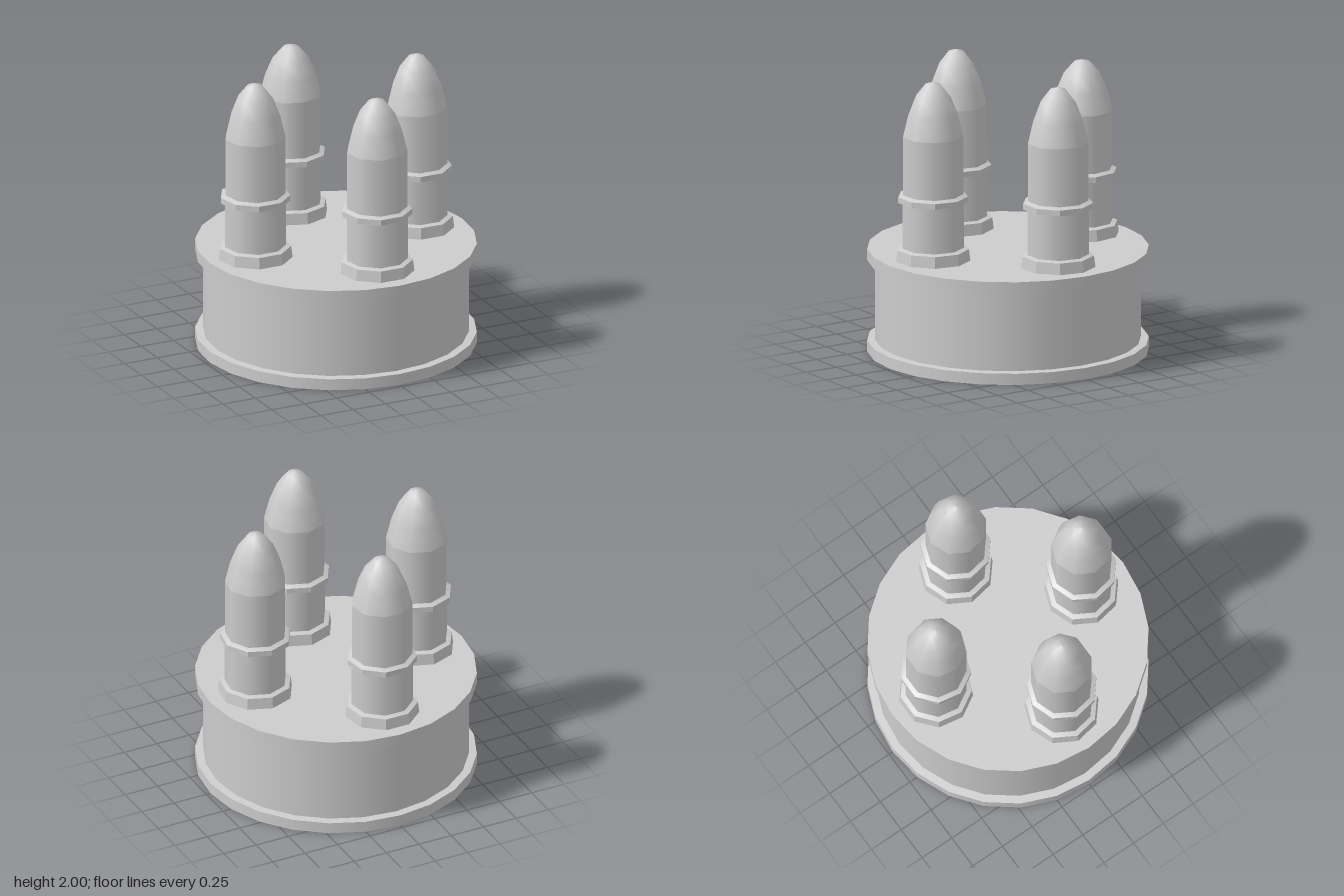
import * as THREE from 'three';
import { mergeGeometries, toCreasedNormals } from 'three/addons/utils/BufferGeometryUtils.js';

const grey = new THREE.MeshStandardMaterial({ color: 0xcccccc, side: THREE.DoubleSide });
grey.name = 'plain grey';

const SIDES = 9, FLANGE = 0.26, DECK_Y = 0.73;

function lathe(points, sides) {
  return new THREE.LatheGeometry(points.map(([r, y]) => new THREE.Vector2(r, y)), sides);
}

// Profile with a hard edge at every point, round shading along the ring
function hardLathe(points, sides) {
  return mergeGeometries(points.slice(1).map((p, i) => lathe([points[i], p], sides)));
}

function add(group, name, geometry) {
  const mesh = new THREE.Mesh(geometry, grey);
  mesh.name = name;
  group.add(mesh);
  return mesh;
}

// Regular polygon in the same corner order as a lathe, laid out for the deck
function ring(r, sides, cx = 0, cz = 0, turn = 0) {
  return Array.from({ length: sides }, (_, i) => {
    const a = turn + (i / sides) * Math.PI * 2;
    return new THREE.Vector2(cx + r * Math.sin(a), -(cz + r * Math.cos(a)));
  });
}

// Hollow pointed post: foot flange, lower tube, collar, upper tube with ogive tip
function makePost(name, x, z, turn, top) {
  const post = new THREE.Group();
  post.name = name;
  add(post, 'footFlange', toCreasedNormals(
    hardLathe([[FLANGE, DECK_Y], [0.25, 0.81], [0.215, 0.82]], SIDES), 0.3));
  add(post, 'lowerTube', lathe([[0.215, 0.81], [0.215, 1.15]], SIDES));
  add(post, 'collar', toCreasedNormals(
    hardLathe([[0.215, 1.14], [0.245, 1.145], [0.245, 1.185], [0.212, 1.2]], SIDES), 0.3));
  add(post, 'upperTube', lathe([[0.212, 1.19], [0.212, 1.61]], SIDES));
  const s = top - 1.61;
  add(post, 'pointedTip', lathe([
    [0.212, 1.61], [0.175, 1.61 + s * 0.4], [0.125, 1.61 + s * 0.73],
    [0.055, 1.61 + s * 0.96], [0, top],
  ], SIDES));
  post.position.set(x, 0, z);
  post.rotation.y = turn;
  return post;
}

export function createModel() {
  const model = new THREE.Group();
  model.name = 'drumWithPosts';

  // Open-bottomed drum
  const N = 24;
  add(model, 'bottomRim', hardLathe([[0.91, 0], [0.97, 0], [0.97, 0.08], [0.91, 0.085]], N));
  add(model, 'drumWall', lathe([[0.915, 0], [0.915, DECK_Y]], N));
  add(model, 'topRim', hardLathe([[0.91, 0.65], [0.97, 0.65], [0.97, DECK_Y]], N));

  const posts = [
    ['frontPost', 0, 0.62, Math.PI, 1.99],
    ['backPost', -0.03, -0.63, 0, 1.965],
    ['leftPost', 0.62, 0, Math.PI, 2],
    ['rightPost', -0.63, 0.01, Math.PI, 2],
  ];

  // Deck, open beneath each hollow post
  const shape = new THREE.Shape(ring(0.97, N));
  for (const [, x, z, turn] of posts) {
    shape.holes.push(new THREE.Path(ring(FLANGE, SIDES, x, z, turn)));
  }
  const deck = add(model, 'deck', new THREE.ShapeGeometry(shape).rotateX(-Math.PI / 2));
  deck.position.y = DECK_Y;

  for (const p of posts) model.add(makePost(...p));
  return model;
}
